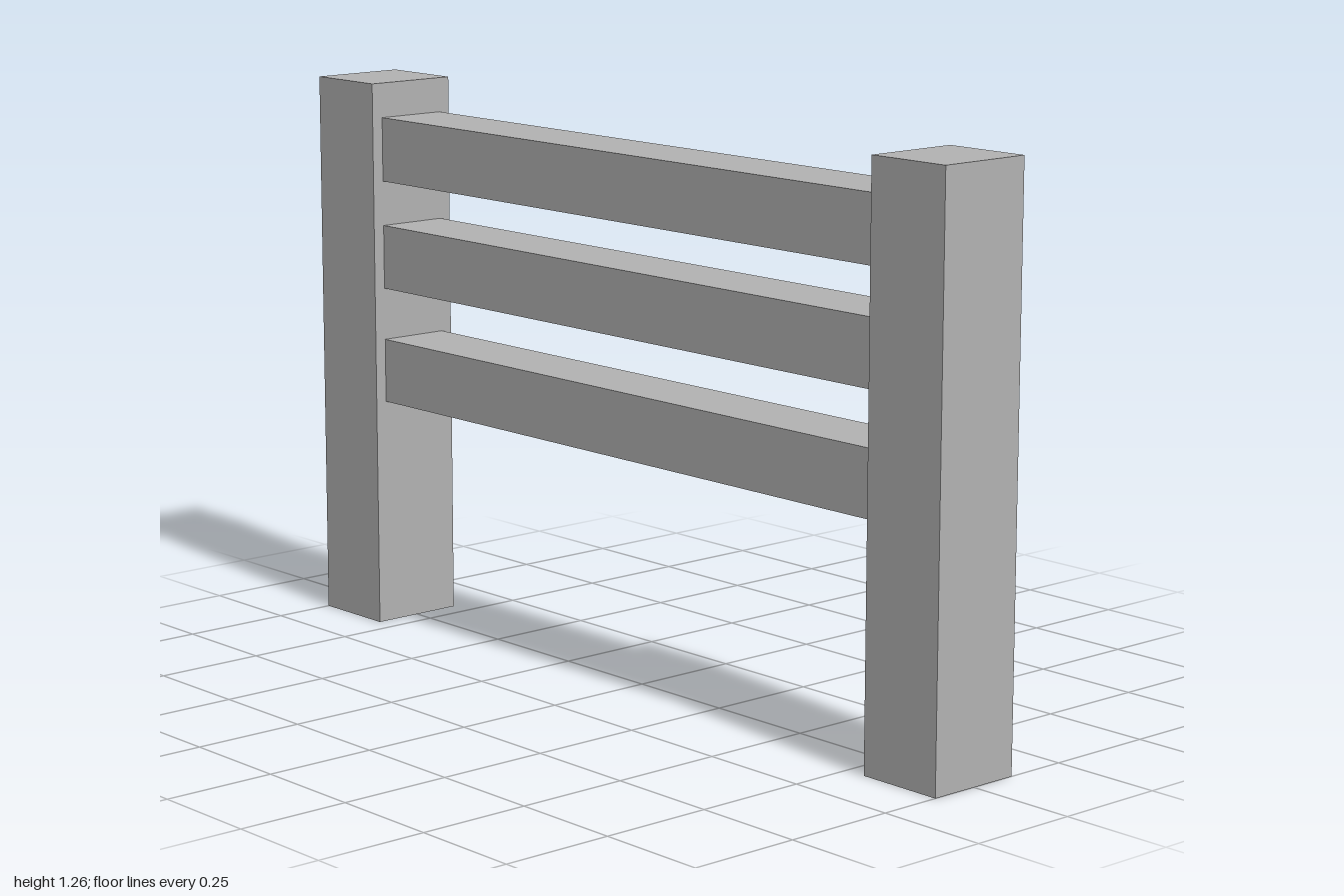
import * as THREE from 'three';

export function createModel() {
  const group = new THREE.Group();
  const grey = new THREE.MeshStandardMaterial({ color: 0xb2b2b2 });
  grey.name = 'grey';

  const addBox = (name, width, height, depth, y, z) => {
    const mesh = new THREE.Mesh(new THREE.BoxGeometry(width, height, depth), grey);
    mesh.name = name;
    mesh.position.set(0, y, z);
    group.add(mesh);
  };

  // Square posts at both ends
  const postHeight = 1.26;
  addBox('frontPost', 0.22, postHeight, 0.2, postHeight / 2, 0.9);
  addBox('backPost', 0.22, postHeight, 0.2, postHeight / 2, -0.9);

  // Three rails spanning between the posts
  const rails = { lowerRail: 0.595, middleRail: 0.86, upperRail: 1.108 };
  for (const [name, y] of Object.entries(rails)) addBox(name, 0.166, 0.146, 1.6, y, 0);

  return group;
}
